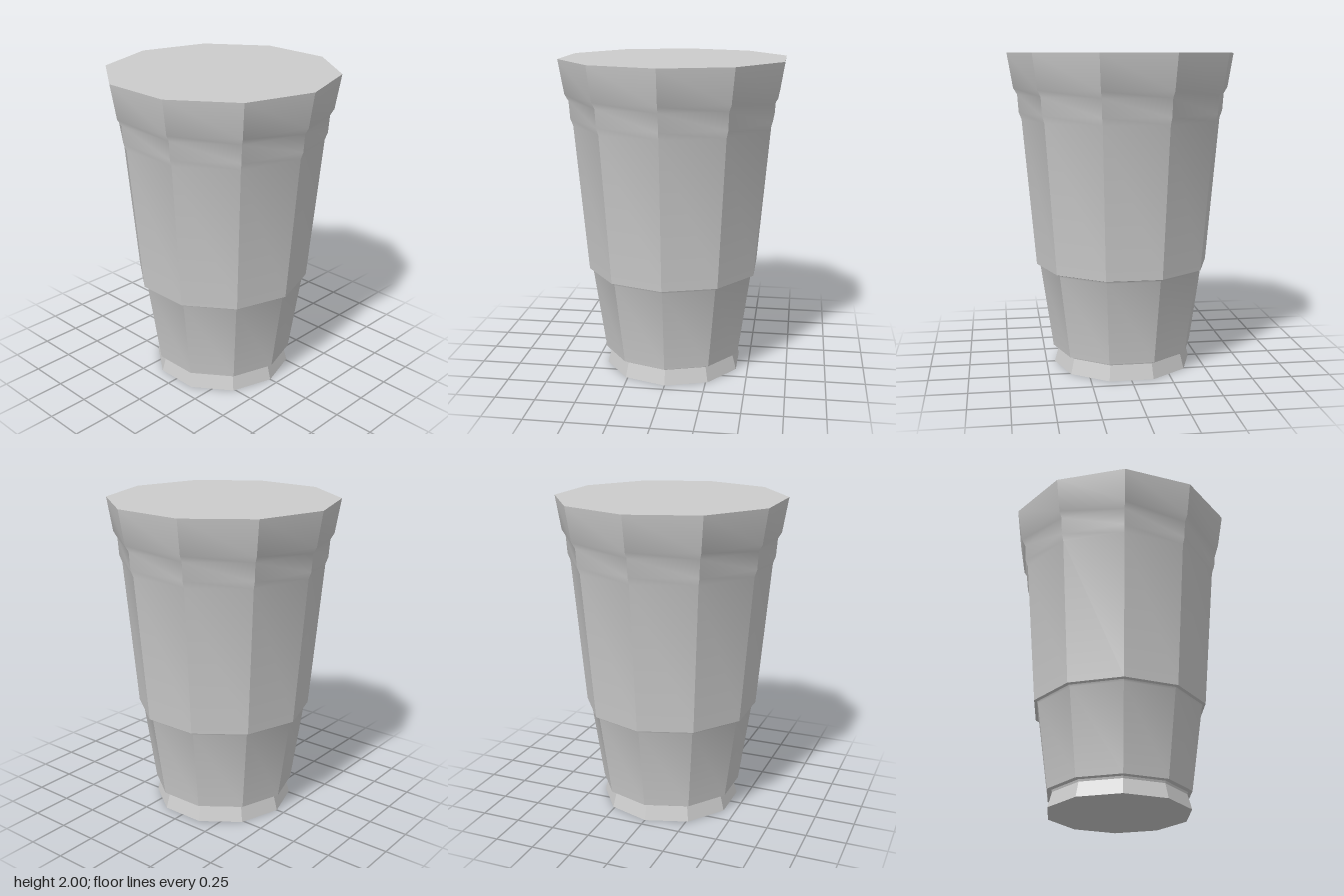
import * as THREE from 'three';
import { toCreasedNormals } from 'three/addons/utils/BufferGeometryUtils.js';

const SIDES = 10;

// Corner radius and height, from the foot up to the rim
const PROFILE = [
  [0.447, 0], [0.421, 0.095], [0.425, 0.108], [0.453, 0.112],
  [0.53, 0.642], [0.536, 0.654], [0.554, 0.66],
  [0.635, 1.59], [0.652, 1.635], [0.66, 1.745], [0.684, 1.785], [0.72, 2],
];

export function createModel() {
  const group = new THREE.Group();
  group.name = 'tumbler';
  const material = new THREE.MeshStandardMaterial({ color: 0xcccccc });

  const add = (name, geometry) => {
    const mesh = new THREE.Mesh(geometry, material);
    mesh.name = name;
    group.add(mesh);
    return mesh;
  };

  // Faceted wall with a flared foot, two tapering tiers and a stepped rim
  const points = PROFILE.map(([r, y]) => new THREE.Vector2(r, y));
  const wall = new THREE.LatheGeometry(points, SIDES, Math.PI / 2);
  add('wall', toCreasedNormals(wall, Math.PI / 6));

  // Flat closed top and bottom
  const top = add('topCap', new THREE.CircleGeometry(0.72, SIDES));
  top.rotation.x = -Math.PI / 2;
  top.position.y = 2;

  const base = add('bottomCap', new THREE.CircleGeometry(0.447, SIDES));
  base.rotation.x = Math.PI / 2;

  return group;
}
